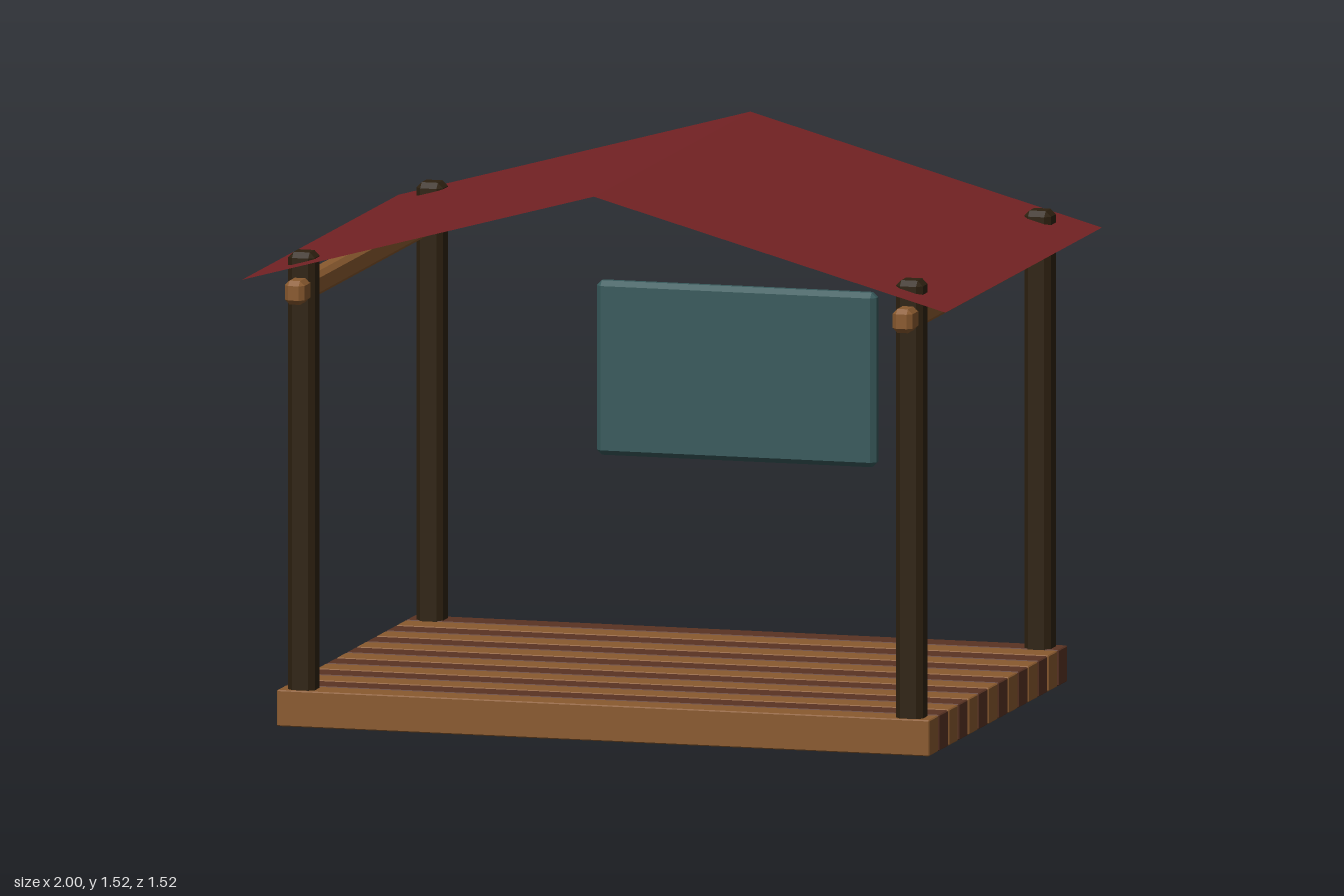
import * as THREE from 'three';
import { ConvexGeometry } from 'three/addons/geometries/ConvexGeometry.js';

function material(name, color, side = THREE.FrontSide) {
  const m = new THREE.MeshStandardMaterial({ color, side });
  m.name = name;
  return m;
}

// Box with every edge and corner cut off by c
function chamferBox(w, h, d, c) {
  const points = [];
  for (const x of [-1, 1]) for (const y of [-1, 1]) for (const z of [-1, 1]) {
    const X = w / 2, Y = h / 2, Z = d / 2;
    points.push(
      new THREE.Vector3(x * X, y * (Y - c), z * (Z - c)),
      new THREE.Vector3(x * (X - c), y * Y, z * (Z - c)),
      new THREE.Vector3(x * (X - c), y * (Y - c), z * Z),
    );
  }
  return new ConvexGeometry(points);
}

export function createModel() {
  const model = new THREE.Group();
  model.name = 'shelter';
  const lightWood = material('light wood', 0x8a5a2f);
  const darkWood = material('dark wood', 0x5a3323);
  const postWood = material('post wood', 0x2e2110);
  const roofRed = material('roof red', 0x742224, THREE.DoubleSide);
  const boardTeal = material('board teal', 0x385a5c);

  function add(name, geometry, mat, x, y, z) {
    const mesh = new THREE.Mesh(geometry, mat);
    mesh.name = name;
    mesh.position.set(x, y, z);
    model.add(mesh);
    return mesh;
  }

  // Floor: alternating planks from front to back
  const plank = chamferBox(1.855, 0.1, 0.087, 0.003);
  for (let i = 0; i < 14; i++) {
    add('floorPlank', plank, i % 2 ? darkWood : lightWood, 0, 0.051, 0.627 - i * 0.0965);
  }

  // Corner posts, poking through the roof, and the side beams
  const post = chamferBox(0.076, 1.31, 0.076, 0.015);
  const beam = chamferBox(0.056, 0.066, 1.45, 0.013);
  for (const x of [-0.864, 0.864]) {
    for (const z of [-0.622, 0.622]) add('post', post, postWood, x, 0.655, z);
    add('sideBeam', beam, lightWood, x, 1.208, 0);
  }

  // Gable roof: two thin sheets meeting at the ridge
  const rise = 0.275, slope = Math.hypot(1, rise);
  for (const s of [-1, 1]) {
    const sheet = new THREE.PlaneGeometry(slope, 1.52).rotateX(-Math.PI / 2);
    const roof = add('roofSheet', sheet, roofRed, s * 0.5, 1.52 - rise / 2, 0);
    roof.rotation.z = -s * Math.atan(rise);
  }

  // Board hanging between the back posts
  add('backBoard', chamferBox(0.795, 0.482, 0.045, 0.014), boardTeal, -0.002, 0.815, -0.643);

  return model;
}
